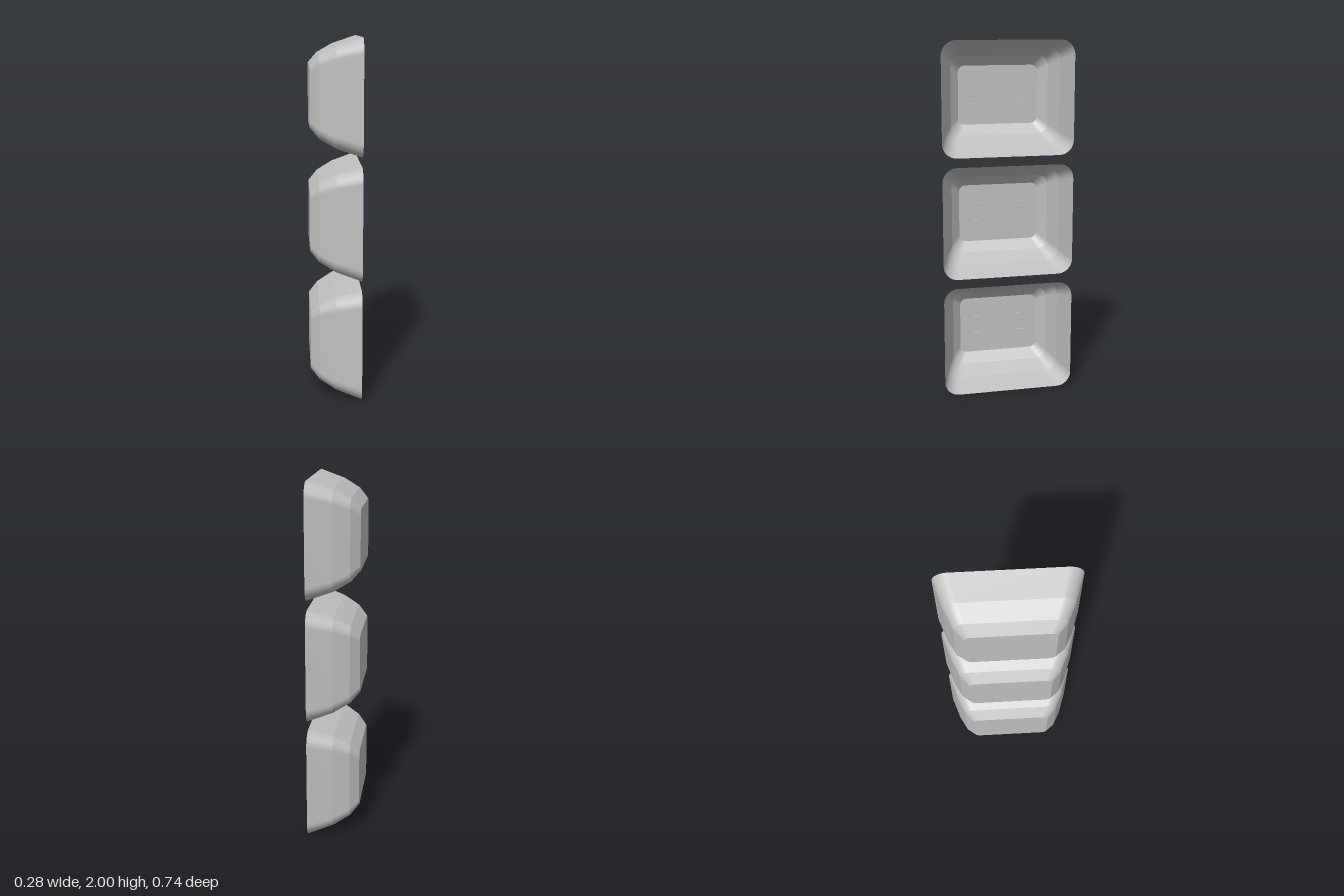
import * as THREE from 'three';

const CORNER_STEPS = 8;
// Rings from the closed plate to the open rim: depth x, half height, half width, corner radius
const RINGS = [
  { x: -0.14, h: 0.166, w: 0.23, r: 0.036 },
  { x: -0.09, h: 0.221, w: 0.281, r: 0.055 },
  { x: 0, h: 0.271, w: 0.325, r: 0.07 },
  { x: 0.14, h: 0.316, w: 0.371, r: 0.082 },
];

// Rounded rectangle outline as [across, up] pairs
function outline({ h, w, r }) {
  const points = [];
  [[1, 1], [-1, 1], [-1, -1], [1, -1]].forEach(([sx, sy], corner) => {
    for (let i = 0; i <= CORNER_STEPS; i++) {
      const a = (corner + i / CORNER_STEPS) * Math.PI / 2;
      points.push([sx * (w - r) + r * Math.cos(a), sy * (h - r) + r * Math.sin(a)]);
    }
  });
  return points;
}

const outlineShape = (ring) => new THREE.Shape(outline(ring).map(([u, v]) => new THREE.Vector2(u, v)));

// One sloping band of wall between two rings, smooth round the corners
function bandGeometry(a, b) {
  const positions = [], index = [];
  const pa = outline(a), pb = outline(b), n = pa.length;
  for (let i = 0; i < n; i++) {
    positions.push(a.x, pa[i][1], pa[i][0], b.x, pb[i][1], pb[i][0]);
    const p = 2 * i, q = 2 * ((i + 1) % n);
    index.push(p, p + 1, q, q, p + 1, q + 1);
  }
  const geometry = new THREE.BufferGeometry();
  geometry.setAttribute('position', new THREE.Float32BufferAttribute(positions, 3));
  geometry.setIndex(index);
  geometry.computeVertexNormals();
  return geometry;
}

export function createModel() {
  const model = new THREE.Group();
  model.name = 'cupStack';
  const grey = new THREE.MeshStandardMaterial({ color: 0xc0c0c0, side: THREE.DoubleSide });
  grey.name = 'light grey';

  const bands = RINGS.slice(1).map((ring, i) => bandGeometry(RINGS[i], ring));
  const plate = new THREE.ShapeGeometry(outlineShape(RINGS[0])).rotateY(Math.PI / 2);
  const tab = new THREE.ExtrudeGeometry(
    outlineShape({ h: 0.0075, w: 0.027, r: 0.005 }),
    { depth: 0.009, bevelEnabled: false },
  ).rotateY(Math.PI / 2);

  const add = (parent, geometry, name, x = 0, y = 0, z = 0) => {
    const mesh = new THREE.Mesh(geometry, grey);
    mesh.name = name;
    mesh.position.set(x, y, z);
    parent.add(mesh);
  };

  // Three identical open cups, stacked with a small gap
  for (let k = 0; k < 3; k++) {
    const cup = new THREE.Group();
    cup.name = 'cup';
    cup.position.y = 0.316 + 0.684 * k;
    bands.forEach((band) => add(cup, band, 'cupWall'));
    add(cup, plate, 'basePlate', RINGS[0].x);
    // Four small tabs on the inside of the plate
    for (const y of [-0.053, 0.053])
      for (const z of [-0.13, 0.13]) add(cup, tab, 'tab', RINGS[0].x, y, z);
    model.add(cup);
  }
  return model;
}
